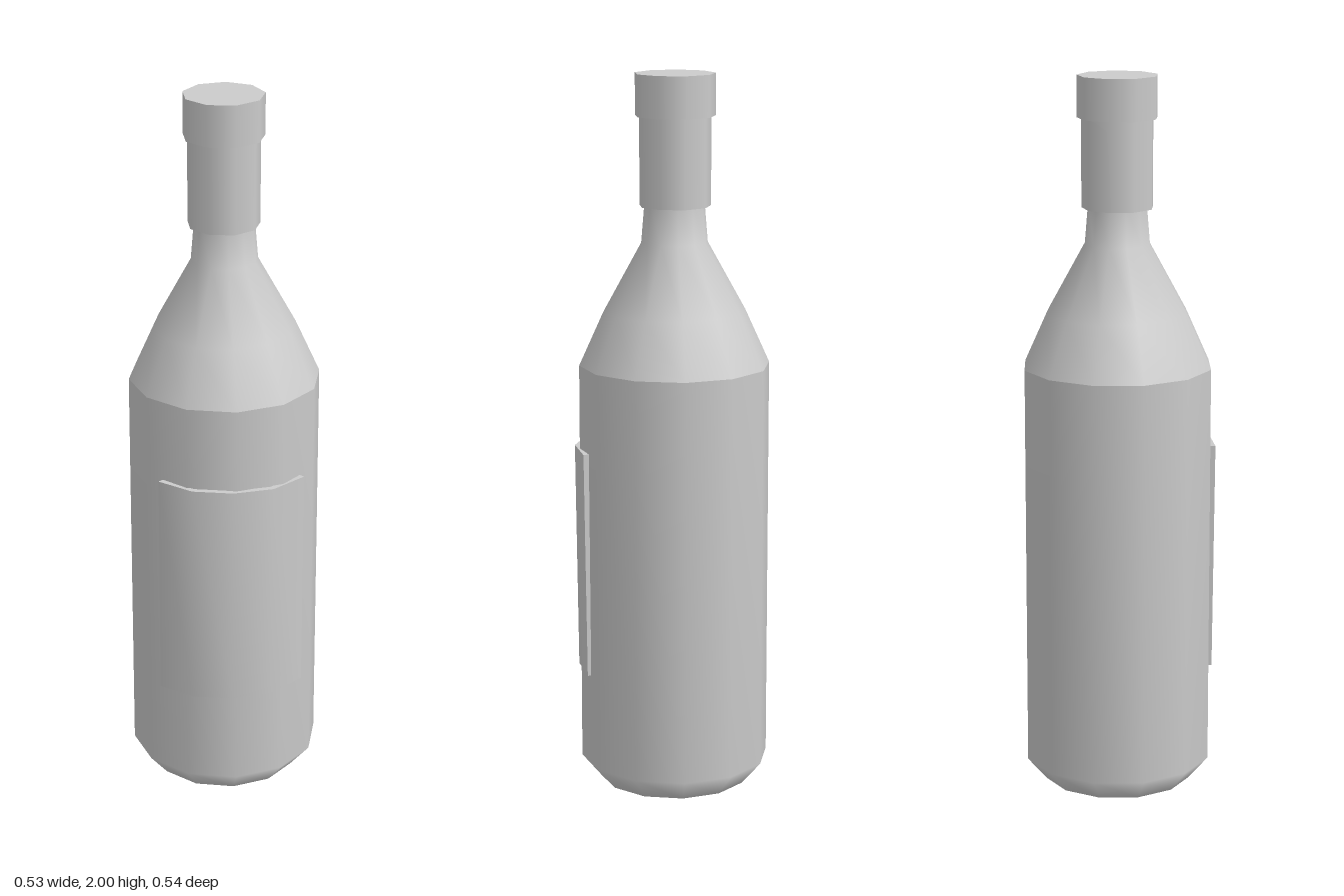
import * as THREE from 'three';
import { toCreasedNormals } from 'three/addons/utils/BufferGeometryUtils.js';

const AXIS_Z = -0.0075;

export function createModel() {
  const bottle = new THREE.Group();
  bottle.name = 'bottle';
  const material = new THREE.MeshStandardMaterial({ color: 0xcccccc });

  function add(name, geometry, x = 0, y = 0, z = 0) {
    const mesh = new THREE.Mesh(geometry, material);
    mesh.name = name;
    mesh.position.set(x, y, z);
    bottle.add(mesh);
  }

  // Twelve-sided glass, split where its edges are sharp
  function glass(name, profile) {
    const points = profile.map(([r, y]) => new THREE.Vector2(r, y));
    add(name, new THREE.LatheGeometry(points, 12), 0, 0, AXIS_Z);
  }
  glass('base', [[0, 0], [0.21, 0]]);
  glass('body', [[0.21, 0], [0.265, 0.065], [0.265, 1.2]]);
  glass('shoulder', [[0.265, 1.2], [0.197, 1.35], [0.092, 1.54], [0.082, 1.66]]);

  // Nine-sided neck sleeve and stopper
  function ring(name, radius, bottom, top) {
    const geometry = new THREE.CylinderGeometry(radius, radius, top - bottom, 9, 1, false, Math.PI / 2);
    add(name, geometry, -0.002, (bottom + top) / 2, AXIS_Z);
  }
  ring('neckSleeve', 0.1, 1.64, 1.89);
  ring('cap', 0.112, 1.885, 2);

  // Curved label: a thin ribbon extruded upwards, leaning slightly forwards
  const outer = [[-0.204, 0.175], [-0.12, 0.247], [-0.01, 0.27], [0.102, 0.252], [0.197, 0.18]];
  const inner = outer.map(([x, z]) => [x * 0.94, AXIS_Z + (z - AXIS_Z) * 0.94]).reverse();
  const ribbon = new THREE.Shape([...outer, ...inner].map(([x, z]) => new THREE.Vector2(x, -z)));
  const label = new THREE.ExtrudeGeometry(ribbon, { depth: 0.64, bevelEnabled: false });
  label.rotateX(-Math.PI / 2);
  const pos = label.attributes.position;
  for (let i = 0; i < pos.count; i++) {
    const up = pos.getY(i) / 0.64;
    pos.setZ(i, pos.getZ(i) - 0.008 * (1 - up));
    pos.setY(i, pos.getY(i) + 0.327 - 0.015 * up * pos.getX(i));
  }
  add('label', toCreasedNormals(label, Math.PI / 4));

  return bottle;
}
